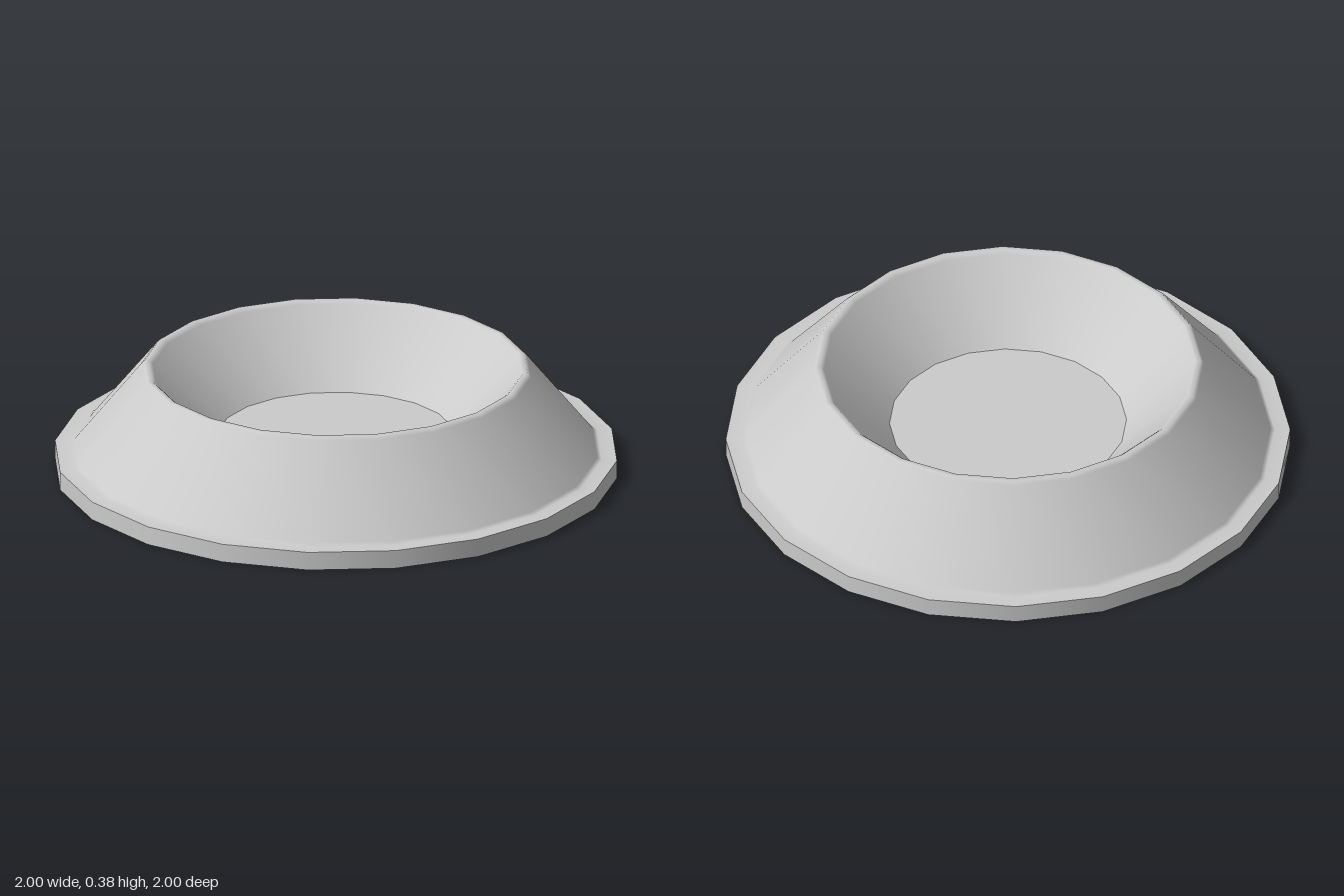
import * as THREE from 'three';

const SIDES = 20;

export function createModel() {
  const group = new THREE.Group();
  group.name = 'bowl';
  const material = new THREE.MeshStandardMaterial({ color: 0xcccccc, side: THREE.DoubleSide });

  // Each part is a thin turned shell; splitting the profile keeps the hard edges sharp
  const turn = (name, profile) => {
    const points = profile.map(([r, y]) => new THREE.Vector2(r, y));
    const mesh = new THREE.Mesh(new THREE.LatheGeometry(points, SIDES), material);
    mesh.name = name;
    group.add(mesh);
  };

  // Upright edge of the foot flange, open underneath
  turn('flangeEdge', [[1, 0], [1, 0.067]]);

  // Flange top, sloping wall, softened rim and inner bowl wall
  turn('bowlWall', [
    [1, 0.067], [0.945, 0.067], [0.93, 0.076],
    [0.693, 0.371], [0.682, 0.382],
    [0.664, 0.382], [0.652, 0.371], [0.42, 0.125],
  ]);

  // Flat floor of the bowl
  const floor = new THREE.Mesh(new THREE.CircleGeometry(0.42, SIDES), material);
  floor.name = 'bowlFloor';
  floor.rotation.x = -Math.PI / 2;
  floor.position.y = 0.125;
  group.add(floor);

  return group;
}
